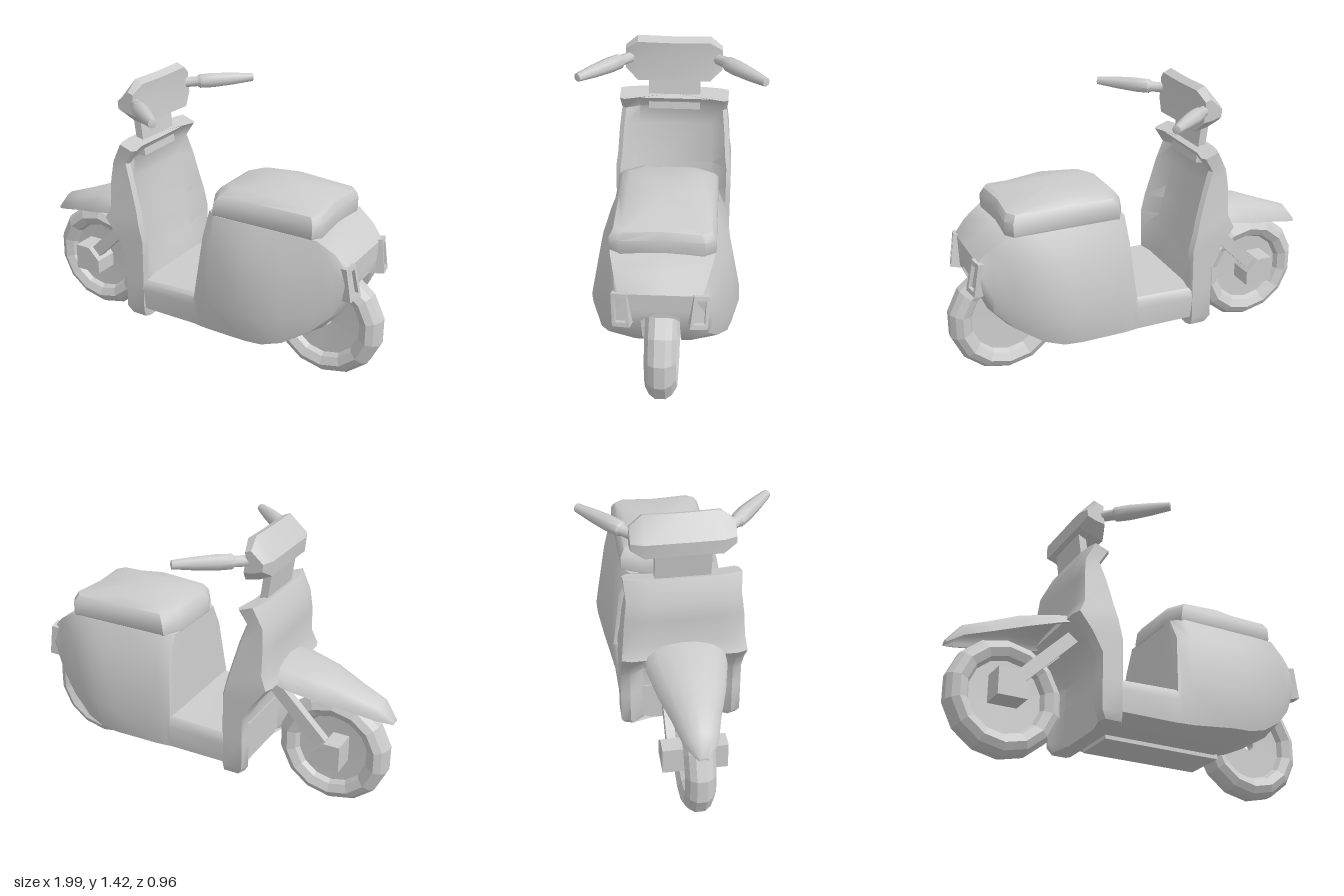
import * as THREE from 'three';
import { toCreasedNormals } from 'three/addons/utils/BufferGeometryUtils.js';

const grey = new THREE.MeshStandardMaterial({ color: 0xcccccc, side: THREE.DoubleSide });
const flat = new THREE.MeshStandardMaterial({ color: 0xcccccc, flatShading: true, side: THREE.DoubleSide });

// Skin over closed rings of [x, y, z] points, capped at both ends and wound outward
function loft(rings, crease = 0.75) {
  const n = rings[0].length, pos = rings.flat(2), idx = [];
  for (let r = 0; r < rings.length - 1; r++)
    for (let i = 0; i < n; i++) {
      const j = (i + 1) % n, a = r * n + i, b = r * n + j, c = b + n, d = a + n;
      idx.push(a, b, c, a, c, d);
    }
  [0, rings.length - 1].forEach((r) => {
    const mid = [0, 1, 2].map((k) => rings[r].reduce((s, p) => s + p[k], 0) / n);
    const m = pos.length / 3;
    pos.push(...mid);
    for (let i = 0; i < n; i++) {
      const a = r * n + i, b = r * n + (i + 1) % n;
      idx.push(...(r === 0 ? [b, a, m] : [a, b, m]));
    }
  });
  const v = (i) => new THREE.Vector3().fromArray(pos, i * 3);
  let volume = 0;
  for (let i = 0; i < idx.length; i += 3) volume += v(idx[i]).dot(v(idx[i + 1]).cross(v(idx[i + 2])));
  if (volume < 0) idx.reverse();
  const g = new THREE.BufferGeometry();
  g.setAttribute('position', new THREE.Float32BufferAttribute(pos, 3));
  g.setIndex(idx);
  return toCreasedNormals(g, crease);
}

// Closed ring from half a section that starts and ends on the z = 0 plane
const mirrorRing = (half) => [...half, ...half.slice(1, -1).reverse().map(([x, y, z]) => [x, y, -z])];

export function createModel() {
  const model = new THREE.Group();
  const add = (name, geometry, material = grey) => {
    const mesh = new THREE.Mesh(geometry, material);
    mesh.name = name;
    model.add(mesh);
    return mesh;
  };

  // Wheels: tyre, rim and disc with an axle hole in one turned profile
  const side = [[0.03, 0.025], [0.185, 0.03], [0.2, 0.055], [0.24, 0.075], [0.275, 0.055], [0.296, 0.025]];
  const profile = [...side.map(([r, y]) => [r, -y]), ...side.slice().reverse(), [0.03, -0.025]];
  const wheel = new THREE.LatheGeometry(profile.map(([r, y]) => new THREE.Vector2(r, y)), 14).rotateX(Math.PI / 2);
  add('frontWheel', wheel, flat).position.set(-0.695, 0.297, 0);
  add('rearWheel', wheel, flat).position.set(0.7, 0.297, 0);

  // Floor and rear body: x, top y/half, middle y/half, low y/half, bottom y/half, wheel well half/top
  const body = [
    [-0.28, 0.385, 0.29, 0.33, 0.31, 0.22, 0.3, 0.17, 0.14, 0.09, 0.17],
    [-0.2, 0.385, 0.29, 0.33, 0.31, 0.22, 0.3, 0.165, 0.13, 0.09, 0.165],
    [0.095, 0.395, 0.29, 0.34, 0.315, 0.22, 0.3, 0.165, 0.13, 0.09, 0.165],
    [0.12, 0.82, 0.2, 0.4, 0.32, 0.22, 0.305, 0.165, 0.13, 0.09, 0.165],
    [0.18, 0.82, 0.245, 0.4, 0.33, 0.22, 0.31, 0.165, 0.13, 0.09, 0.165],
    [0.4, 0.82, 0.245, 0.39, 0.365, 0.235, 0.335, 0.165, 0.13, 0.09, 0.165],
    [0.41, 0.82, 0.245, 0.39, 0.365, 0.235, 0.335, 0.165, 0.13, 0.09, 0.5],
    [0.5, 0.82, 0.245, 0.39, 0.365, 0.24, 0.33, 0.19, 0.13, 0.09, 0.6],
    [0.6, 0.82, 0.245, 0.42, 0.345, 0.27, 0.31, 0.235, 0.13, 0.09, 0.62],
    [0.73, 0.82, 0.24, 0.46, 0.29, 0.35, 0.26, 0.31, 0.13, 0.09, 0.62],
    [0.82, 0.76, 0.215, 0.52, 0.24, 0.44, 0.22, 0.41, 0.12, 0.09, 0.58],
    [0.88, 0.7, 0.19, 0.62, 0.215, 0.56, 0.2, 0.55, 0.12, 0.09, 0.57],
  ];
  add('body', loft(body.map(([x, ty, th, my, mh, ly, lh, by, bh, wh, wy]) => mirrorRing([
    [x, ty, 0], [x, ty, th],
    [x, ty * 0.7 + my * 0.3, th * 0.5 + mh * 0.5 + 0.005],
    [x, my, mh], [x, ly, lh], [x, by, bh], [x, by, wh], [x, wy, wh], [x, wy, 0],
  ]))));
  add('underTray', new THREE.BoxGeometry(0.64, 0.03, 0.24)).position.set(0.115, 0.16, 0);

  // Leg shield: y, front x, rear x, half width, rear dish depth, front recess depth
  const shield = [
    [0.17, -0.31, -0.2, 0.295, 0, 0.05], [0.21, -0.335, -0.2, 0.31, 0, 0.06],
    [0.38, -0.335, -0.2, 0.31, 0.015, 0.06], [0.5, -0.335, -0.2, 0.31, 0.06, 0.06],
    [0.6, -0.39, -0.2, 0.31, 0.075, 0.05], [0.69, -0.46, -0.222, 0.31, 0.075, 0],
    [0.76, -0.43, -0.24, 0.3, 0.07, 0], [0.9, -0.43, -0.28, 0.29, 0.06, -0.01],
    [1.0, -0.42, -0.315, 0.278, 0.03, -0.01], [1.1, -0.37, -0.27, 0.285, 0.02, -0.01],
  ];
  add('legShield', loft(shield.map(([y, f, r, h, dish, recess]) => {
    const drop = y > 1.05 ? 0.025 : 0;
    return mirrorRing([
      [f + recess, y, 0], [f + recess, y, h * 0.6], [f, y, h * 0.85], [f + 0.015, y, h],
      [r - 0.015, y - drop, h], [r, y - drop, h * 0.92],
      [r - dish, y - drop, h * 0.66], [r - dish, y - drop, 0],
    ]);
  })));

  // Front fender, an arched shell: x, crown y, edge y, half width
  const fender = [
    [-1, 0.535, 0.515, 0.025], [-0.93, 0.622, 0.545, 0.08], [-0.8, 0.67, 0.58, 0.115],
    [-0.65, 0.73, 0.62, 0.165], [-0.5, 0.755, 0.66, 0.2], [-0.4, 0.765, 0.69, 0.2],
  ];
  add('frontFender', loft(fender.map(([x, top, edge, w]) => {
    const arc = (k, t) => [0, 1, 2, 3, 4].map((i) => {
      const a = (i / 4) * Math.PI / 2;
      return [x, edge + (top - edge - t) * Math.cos(a), w * k * Math.sin(a)];
    });
    return mirrorRing([...arc(1, 0), ...arc(0.9, 0.015).reverse()]);
  })));

  // Fork arms and axle blocks on both sides of the front wheel
  const block = new THREE.Shape([[-0.78, 0.25], [-0.63, 0.25], [-0.63, 0.325], [-0.695, 0.39], [-0.78, 0.39]]
    .map(([x, y]) => new THREE.Vector2(x, y)));
  const blockGeometry = new THREE.ExtrudeGeometry(block, { depth: 0.32, bevelEnabled: false });
  add('axleBlock', blockGeometry).position.z = -0.16;
  for (const s of [-1, 1]) {
    const arm = add('forkArm', new THREE.BoxGeometry(0.44, 0.065, 0.045));
    arm.position.set(-0.53, 0.5, s * 0.105);
    arm.rotation.z = Math.PI / 4;
  }

  // Seat cushion, stacked outlines: y, front x, rear x, half width
  const seat = [
    [0.815, 0.115, 0.735, 0.24], [0.83, 0.113, 0.738, 0.247], [0.89, 0.122, 0.738, 0.245],
    [0.925, 0.145, 0.72, 0.225], [0.945, 0.18, 0.69, 0.185],
  ];
  const cushion = seat.map(([y, f, r, h], i) => {
    const crown = i === 4 ? 0.028 : 0;
    return mirrorRing([
      [f, y, 0], [f, y, h * 0.6], [f + 0.05, y, h], [0.42, y + crown * 0.6, h],
      [r - 0.03, y - crown * 0.4, h], [r, y - crown * 0.4, h * 0.8], [r - 0.015, y - crown * 0.4, 0],
    ]);
  });
  cushion.push(cushion[4].map(([x, y, z]) => [0.42 + (x - 0.42) * 0.35, 0.968, z * 0.45]));
  add('seat', loft(cushion));

  // Tail lights: raised frames around recessed lenses
  for (const s of [-1, 1]) {
    const light = new THREE.Group();
    light.name = 'tailLight';
    const rect = (w, h, Type) => new Type([[-w, -h], [w, -h], [w * 0.85, h], [-w * 0.85, h]]
      .map(([x, y]) => new THREE.Vector2(x, y)));
    const frame = rect(0.042, 0.085, THREE.Shape);
    frame.holes.push(rect(0.026, 0.062, THREE.Path));
    light.add(new THREE.Mesh(new THREE.ExtrudeGeometry(frame, { depth: 0.055, bevelEnabled: false }), grey));
    const lens = new THREE.Mesh(new THREE.BoxGeometry(0.07, 0.15, 0.03), grey);
    lens.position.z = 0.02;
    light.add(lens);
    light.children[0].name = 'lightFrame';
    lens.name = 'lens';
    light.position.set(0.85, 0.615, s * 0.172);
    light.rotation.set(0, Math.PI / 2 - s * 0.2, s * 0.1);
    light.rotateX(-0.15);
    model.add(light);
  }

  // Steering column and handlebar housing
  const column = add('steeringColumn', new THREE.BoxGeometry(0.04, 0.24, 0.27));
  column.position.set(-0.345, 1.12, 0);
  column.rotation.z = 0.14;
  const outline = [[-0.32, 1.42], [-0.277, 1.4], [-0.28, 1.32], [-0.267, 1.19], [-0.34, 1.205], [-0.405, 1.235], [-0.41, 1.31]];
  const housing = [[-0.248, 0.5], [-0.185, 1], [0, 0.96], [0.185, 1], [0.248, 0.5]];
  add('handlebarHousing', loft(housing.map(([z, k]) => outline.map(([x, y]) =>
    [-0.335 + (x + 0.335) * (k < 0.6 ? 0.7 : 1), 1.31 + (y - 1.31) * k, z])), 0.6));

  // Grips swept back and out
  const grip = new THREE.LatheGeometry([[0, 0], [0.028, 0], [0.028, 0.09], [0.038, 0.1], [0.04, 0.17], [0.033, 0.28], [0.022, 0.385], [0, 0.39]]
    .map(([r, y]) => new THREE.Vector2(r, y)), 8);
  for (const s of [-1, 1]) {
    const bar = add('grip', toCreasedNormals(grip, 0.9));
    bar.position.set(-0.315, 1.305, s * 0.21);
    bar.quaternion.setFromUnitVectors(new THREE.Vector3(0, 1, 0), new THREE.Vector3(0.285, 0.012, s * 0.25).normalize());
  }
  return model;
}
